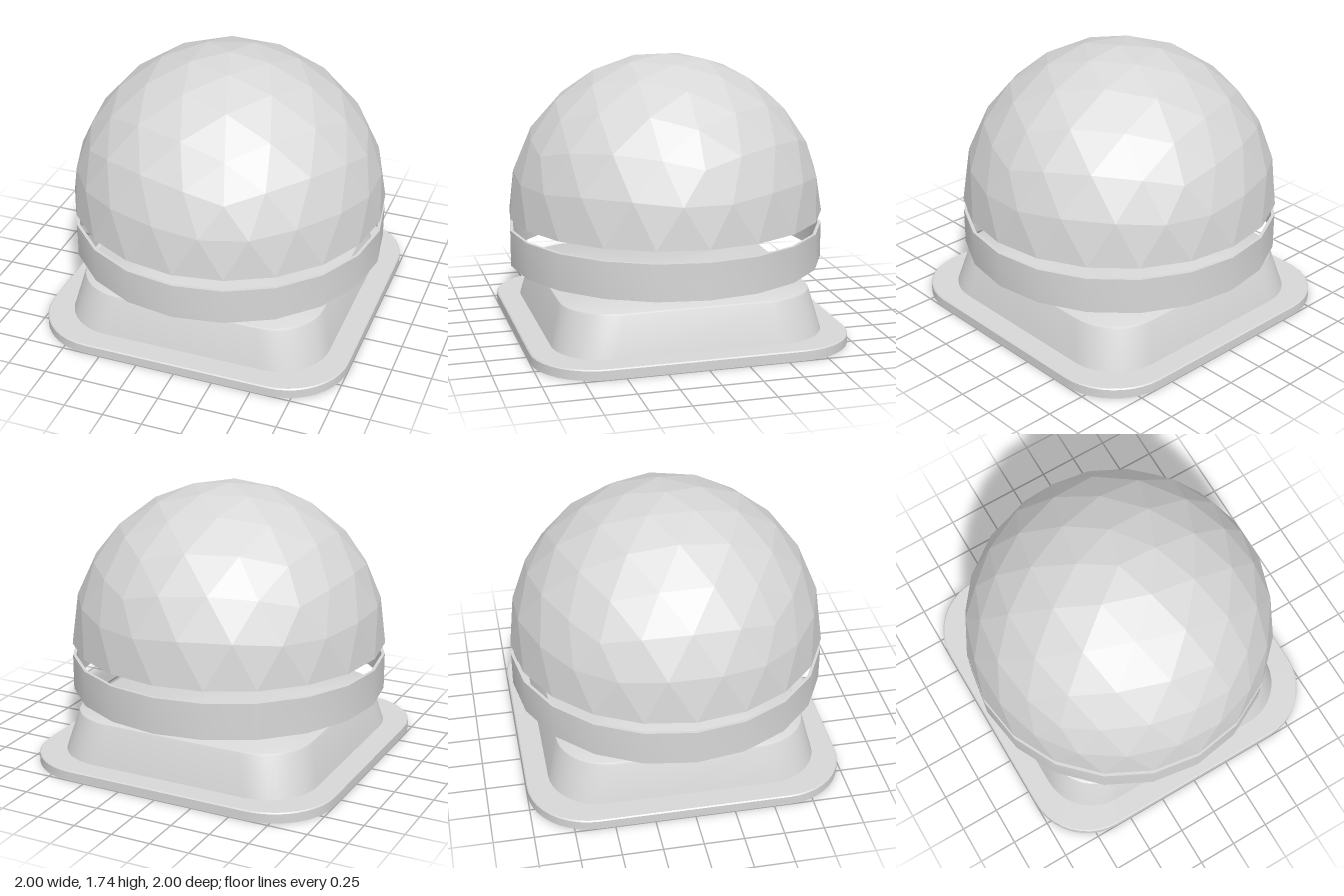
import * as THREE from 'three';
import { toCreasedNormals } from 'three/addons/utils/BufferGeometryUtils.js';

const SIDES = 20;

// Outline of a rounded square at height y, as a loop of points
function roundedSquare([half, radius, y], steps = 10) {
  const points = [];
  for (let corner = 0; corner < 4; corner++) {
    const mid = Math.PI / 4 + corner * Math.PI / 2;
    const cx = Math.sign(Math.cos(mid)) * (half - radius);
    const cz = Math.sign(Math.sin(mid)) * (half - radius);
    for (let i = 0; i <= steps; i++) {
      const a = (corner + i / steps) * Math.PI / 2;
      points.push([cx + radius * Math.cos(a), y, cz + radius * Math.sin(a)]);
    }
  }
  return points;
}

// Joins rounded-square sections into a skin; first and last are closed flat
function loft(sections) {
  const rings = sections.map((s) => roundedSquare(s));
  const n = rings[0].length;
  const pos = [];
  const last = rings.length - 1;
  const startCentre = [0, sections[0][2], 0];
  const endCentre = [0, sections[last][2], 0];
  for (let k = 0; k < n; k++) {
    const m = (k + 1) % n;
    pos.push(...startCentre, ...rings[0][k], ...rings[0][m]);
    for (let i = 0; i < last; i++) {
      const a = rings[i][k], b = rings[i + 1][k];
      const c = rings[i + 1][m], d = rings[i][m];
      pos.push(...a, ...b, ...d, ...b, ...c, ...d);
    }
    pos.push(...rings[last][k], ...endCentre, ...rings[last][m]);
  }
  const geo = new THREE.BufferGeometry();
  geo.setAttribute('position', new THREE.Float32BufferAttribute(pos, 3));
  return toCreasedNormals(geo, 0.5);
}

// Upper half of a geodesic sphere, pole up, faceted
function geodesicDome() {
  const ball = new THREE.IcosahedronGeometry(1, 3);
  ball.rotateZ(-Math.atan(2 / (1 + Math.sqrt(5))));
  const src = ball.attributes.position.array;
  const pos = [];
  for (let i = 0; i < src.length; i += 9) {
    if (src[i + 1] + src[i + 4] + src[i + 7] > 0.01) pos.push(...src.slice(i, i + 9));
  }
  const geo = new THREE.BufferGeometry();
  geo.setAttribute('position', new THREE.Float32BufferAttribute(pos, 3));
  geo.computeVertexNormals();
  return geo;
}

function polygonPoints(radius) {
  return Array.from({ length: SIDES }, (_, i) => {
    const a = (i / SIDES) * Math.PI * 2;
    return new THREE.Vector2(radius * Math.cos(a), radius * Math.sin(a));
  });
}

export function createModel() {
  const model = new THREE.Group();
  model.name = 'domedButton';
  const grey = new THREE.MeshStandardMaterial({ color: 0xd7d7d7 });
  grey.name = 'lightGrey';

  function add(name, geometry, y, parent = model) {
    const mesh = new THREE.Mesh(geometry, grey);
    mesh.name = name;
    mesh.position.y = y;
    parent.add(mesh);
  }

  // Thin-walled base: cavity ceiling, cavity wall, flange, tapered body, top
  add('base', loft([
    [0.775, 0.31, 0.31],
    [0.857, 0.33, 0],
    [1, 0.4, 0],
    [1, 0.4, 0.058],
    [0.993, 0.393, 0.065],
    [0.855, 0.33, 0.065],
    [0.793, 0.325, 0.311],
    [0.788, 0.32, 0.321],
    [0.778, 0.31, 0.326],
  ]), 0);

  // Thin floating band, open through the middle
  const bandShape = new THREE.Shape(polygonPoints(1));
  bandShape.holes.push(new THREE.Path(polygonPoints(0.98)));
  const band = new THREE.ExtrudeGeometry(bandShape, { depth: 0.228, bevelEnabled: false });
  band.rotateX(-Math.PI / 2);
  add('band', toCreasedNormals(band, 0.5), 0.431);

  // Faceted dome with a flat underside
  const dome = new THREE.Group();
  dome.name = 'dome';
  dome.position.y = 0.736;
  model.add(dome);
  add('domeShell', geodesicDome(), 0, dome);
  add('domeUnderside', new THREE.CircleGeometry(1, SIDES).rotateX(Math.PI / 2), 0, dome);

  return model;
}
